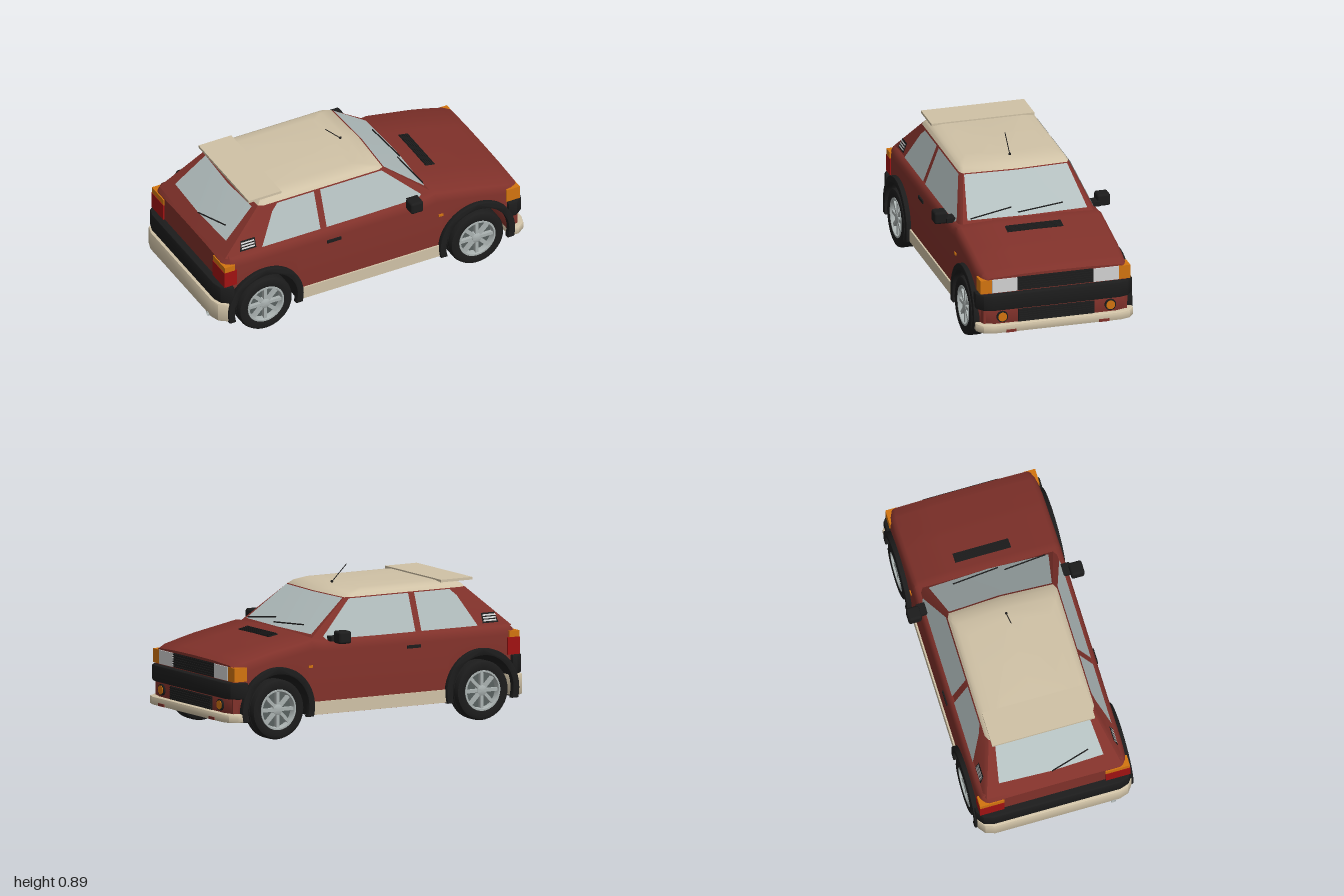
import * as THREE from 'three';
import { toCreasedNormals } from 'three/addons/utils/BufferGeometryUtils.js';
import { RoundedBoxGeometry } from 'three/addons/geometries/RoundedBoxGeometry.js';

const mat = (name, color) => Object.assign(new THREE.MeshStandardMaterial({ color, side: THREE.DoubleSide }), { name });
const paint = mat('red paint', 0x80312a), cream = mat('cream', 0xd0c2a6), glass = mat('glass', 0xb2bebe);
const black = mat('black trim', 0x1c1c1c), metal = mat('wheel metal', 0xaab2b1), white = mat('lamp white', 0xd2d2d2);
const orange = mat('orange lamp', 0xd2740f), red = mat('tail lamp red', 0xa01212), shade = mat('wheel dish grey', 0x596160);

const lerp = THREE.MathUtils.lerp;
const WHEELS = [-0.692, 0.667], AXLE = 0.175;

// Piecewise-linear lookup in [x, y] pairs
function along(pts, x) {
  for (let i = 1; i < pts.length; i++) {
    const [a, b] = [pts[i - 1], pts[i]];
    if (x <= b[0]) return lerp(a[1], b[1], Math.max(0, (x - a[0]) / (b[0] - a[0])));
  }
  return pts[pts.length - 1][1];
}

// Skin over a row of cross-sections
function loft(rings, closed = false, capped = false) {
  const n = rings[0].length, index = [], last = (rings.length - 1) * n;
  for (let i = 0; i < rings.length - 1; i++) {
    for (let j = 0; j < (closed ? n : n - 1); j++) {
      const a = i * n + j, c = i * n + (j + 1) % n;
      index.push(a, a + n, c + n, a, c + n, c);
    }
  }
  if (capped) for (let j = 1; j < n - 1; j++) index.push(0, j, j + 1, last, last + j + 1, last + j);
  const g = new THREE.BufferGeometry();
  g.setAttribute('position', new THREE.Float32BufferAttribute(rings.flat(2), 3));
  g.setIndex(index);
  return toCreasedNormals(g, 0.6);
}

// Cabin shell: rear x, front x and half width at height y
const cabin = (y) => {
  const t = (y - 0.545) / 0.21;
  return { rear: lerp(-0.9, -0.665, t), front: lerp(0.41, 0.14, t), side: lerp(0.405, 0.325, t) };
};
const endX = (s, y, z) => {
  const c = cabin(y), x = s > 0 ? c.front : c.rear;
  return x + s * 0.015 * (1 - Math.abs(z) / (c.side - 0.015));
};
const ringAt = (y, r, f, z) => {
  const half = [[f, z - 0.015], [f - 0.03, z], [r + 0.03, z], [r, z - 0.015]];
  return [[f + 0.015, 0], ...half, [r - 0.015, 0], ...half.reverse().map(([x, w]) => [x, -w])].map(([x, w]) => [x, y, w]);
};

export function createModel() {
  const car = new THREE.Group();
  car.name = 'hatchback';
  const add = (name, geo, material, x = 0, y = 0, z = 0, parent = car) => {
    const m = new THREE.Mesh(geo, material);
    m.name = name;
    m.position.set(x, y, z);
    parent.add(m);
    return m;
  };
  // Box given by its limits
  const box = (name, material, x0, x1, y0, y1, z0, z1) => add(name,
    new THREE.BoxGeometry(x1 - x0, y1 - y0, Math.abs(z1 - z0)), material, (x0 + x1) / 2, (y0 + y1) / 2, (z0 + z1) / 2);
  const rod = (name, material, a, b, r) => add(name,
    new THREE.TubeGeometry(new THREE.LineCurve3(new THREE.Vector3(...a), new THREE.Vector3(...b)), 1, r, 8), material);
  // Flat panel laid on the sloping cabin side
  const sidePanel = (name, material, s, pts, lift) => {
    const g = new THREE.ShapeGeometry(new THREE.Shape(pts.map((p) => new THREE.Vector2(...p))));
    const p = g.attributes.position;
    for (let i = 0; i < p.count; i++) p.setZ(i, s * (cabin(p.getY(i)).side + lift));
    if (s < 0) g.setIndex([...g.index.array].reverse());
    g.computeVertexNormals();
    add(name, g, material);
  };
  // Plan outline with rounded corners, raised from y0 to y1
  const bumper = (name, material, s, x0, x1, w, y0, y1) => {
    const half = [[x0, w], [x1 - 0.06, w], [x1 - 0.02, w - 0.03], [x1 - 0.004, w - 0.08]];
    const pts = [...half, ...half.slice().reverse().map(([x, z]) => [x, -z])];
    const b = 0.008, shape = new THREE.Shape(pts.map(([x, z]) => new THREE.Vector2(s * (x - b), z - Math.sign(z) * b)));
    const g = new THREE.ExtrudeGeometry(shape, { depth: y1 - y0 - 2 * b, bevelSize: b, bevelThickness: b, bevelSegments: 2 });
    add(name, toCreasedNormals(g.rotateX(-Math.PI / 2), 0.6), material, 0, y0 + b, 0);
  };

  // Lower body, with wheel arches running right through
  const top = [[-0.94, 0.5], [-0.9, 0.538], [0.35, 0.546], [0.42, 0.557], [0.7, 0.505], [0.9, 0.457], [0.945, 0.438]];
  const width = [[-0.94, 0.42], [-0.89, 0.436], [-0.8, 0.442], [0.8, 0.442], [0.9, 0.436], [0.945, 0.424]];
  const stations = [[-0.94, 0.12]];
  for (const c of WHEELS) {
    stations.push([c - 0.215, 0.12]);
    for (let i = 0; i <= 20; i++) {
      const a = Math.PI * (1 - i / 20);
      stations.push([c + 0.215 * Math.cos(a), AXLE + 0.215 * Math.sin(a)]);
    }
    stations.push([c + 0.215, 0.12]);
  }
  stations.push([0.35, 0.12], [0.42, 0.12], [-0.9, 0.12], [0.9, 0.12], [0.945, 0.12]);
  stations.sort((a, b) => a[0] - b[0]);
  add('lowerBody', loft(stations.map(([x, low]) => {
    const t = along(top, x), w = along(width, x);
    const half = [[w, low], [w, t - 0.06], [w - 0.005, t - 0.035], [w - 0.016, t - 0.012], [w - 0.036, t], [0.2, t + 0.008]];
    return [...half, [0, t + 0.01], ...half.slice().reverse().map(([z, y]) => [-z, y])].map(([z, y]) => [x, y, z]);
  }), false, true), paint);
  add('floorPan', loft(stations.map(([x, low]) => [[x, low, -along(width, x)], [x, low, along(width, x)]])), black);

  // Cabin and roof
  const shell = (y) => { const c = cabin(y); return ringAt(y, c.rear, c.front, c.side); };
  add('cabin', loft([shell(0.525), shell(0.757)], true), paint);
  add('roof', loft([shell(0.757), ringAt(0.777, -0.645, 0.105, 0.312), ringAt(0.79, -0.62, 0.05, 0.29),
    ringAt(0.796, -0.57, -0.02, 0.24)], true, true), cream);
  box('roofSpoiler', cream, -0.72, -0.51, 0.789, 0.804, -0.305, 0.305);

  // Windscreen and rear window
  for (const [name, s, y0, w0, y1, w1] of [['windscreen', 1, 0.57, 0.355, 0.754, 0.305], ['rearWindow', -1, 0.58, 0.31, 0.74, 0.28]]) {
    add(name, loft([[y0, w0], [y1, w1]].map(([y, w]) => [-w, 0, w].map((z) => [endX(s, y, z) + s * 0.005, y, s * z]))), glass);
  }
  const onGlass = (s, y, z) => [endX(s, y, z) + s * 0.014, y, z];
  rod('frontWiper', black, onGlass(1, 0.578, 0.335), onGlass(1, 0.61, 0.085), 0.004);
  rod('frontWiper', black, onGlass(1, 0.587, 0.055), onGlass(1, 0.605, -0.22), 0.004);
  rod('rearWiper', black, onGlass(-1, 0.585, 0), onGlass(-1, 0.625, 0.23), 0.004);

  // Bonnet vent
  const vent = add('bonnetVent', new THREE.BoxGeometry(0.06, 0.008, 0.33), black, 0.52, 0.548, 0);
  vent.rotation.z = -0.19;
  for (let i = -2; i <= 2; i++) add('ventRib', new THREE.BoxGeometry(0.005, 0.006, 0.32), black, i * 0.012, 0.005, 0, vent);

  // Bumpers and valances
  bumper('frontBumper', black, 1, 0.885, 0.986, 0.462, 0.25, 0.345);
  bumper('frontValance', paint, 1, 0.885, 0.966, 0.443, 0.15, 0.26);
  bumper('frontLip', cream, 1, 0.885, 1.0, 0.465, 0.117, 0.165);
  bumper('rearBumper', black, -1, 0.91, 0.988, 0.462, 0.25, 0.362);
  bumper('rearSkirt', cream, -1, 0.91, 1.0, 0.456, 0.125, 0.245);

  // Front grilles with slats
  for (const [name, x, y0, y1] of [['grille', 0.945, 0.35, 0.432], ['lowerGrille', 0.966, 0.166, 0.242]]) {
    box(name, black, x - 0.01, x + 0.003, y0, y1, -0.225, 0.225);
    for (let i = 0; i < 6; i++) {
      const y = y0 + (i + 0.5) * (y1 - y0) / 6;
      box(name + 'Slat', black, x, x + 0.009, y - 0.003, y + 0.003, -0.222, 0.222);
    }
  }

  // Aerial and exhaust
  rod('aerial', black, [0.03, 0.797, 0], [-0.067, 0.892, 0], 0.0025);
  add('aerialBase', new THREE.SphereGeometry(0.008, 12, 8), black, 0.03, 0.799, 0);
  const pipe = new THREE.CylinderGeometry(0.014, 0.014, 0.2, 16, 1, true).rotateZ(Math.PI / 2);
  add('exhaust', pipe, metal, -0.9, 0.127, 0.33);

  for (const s of [1, -1]) {
    // Side glass and pillar vents
    sidePanel('frontSideWindow', glass, s, [[-0.275, 0.54], [0.315, 0.54], [0.335, 0.56], [0.12, 0.752], [-0.275, 0.752]], 0.005);
    sidePanel('rearSideWindow', glass, s, [[-0.69, 0.54], [-0.315, 0.54], [-0.315, 0.752], [-0.55, 0.752], [-0.59, 0.715]], 0.005);
    sidePanel('pillarVent', black, s, [[-0.83, 0.55], [-0.725, 0.55], [-0.725, 0.607], [-0.815, 0.607]], 0.005);
    for (let i = 0; i < 3; i++) {
      const y = 0.56 + i * 0.015;
      sidePanel('pillarVentSlat', white, s, [[-0.82, y], [-0.732, y], [-0.732, y + 0.009], [-0.815, y + 0.009]], 0.008);
    }
    // Lamps
    box('headlight', white, 0.93, 0.952, 0.35, 0.43, s * 0.226, s * 0.375);
    box('frontIndicator', orange, 0.865, 0.95, 0.35, 0.43, s * 0.375, s * 0.444);
    box('tailLamp', red, -0.95, -0.87, 0.362, 0.462, s * 0.3, s * 0.445);
    box('rearIndicator', orange, -0.947, -0.88, 0.462, 0.498, s * 0.3, s * 0.444);
    box('sideRepeater', orange, 0.428, 0.456, 0.394, 0.408, s * 0.438, s * 0.448);
    const disc = (r, h) => new THREE.CylinderGeometry(r, r, h, 24).rotateZ(Math.PI / 2);
    add('fogLampRim', disc(0.033, 0.012), black, 0.968, 0.208, s * 0.32);
    add('fogLamp', disc(0.026, 0.018), orange, 0.969, 0.208, s * 0.32);
    box('lipSlot', paint, 0.99, 1.0, 0.12, 0.136, s * 0.245, s * 0.305);
    // Sill, handle and mirror
    box('sill', cream, -0.475, 0.45, 0.122, 0.196, s * 0.42, s * 0.452);
    box('doorHandle', black, -0.29, -0.2, 0.452, 0.47, s * 0.436, s * 0.45);
    box('mirrorStalk', black, 0.24, 0.31, 0.535, 0.562, s * 0.39, s * 0.455);
    add('mirror', new RoundedBoxGeometry(0.08, 0.072, 0.078, 3, 0.014), black, 0.253, 0.561, s * 0.482);

    for (const x of WHEELS) {
      // Arch flare
      const flare = new THREE.Shape();
      flare.absarc(0, 0, 0.236, -0.23, Math.PI + 0.23, false);
      flare.absarc(0, 0, 0.206, Math.PI + 0.27, -0.27, true);
      const fg = new THREE.ExtrudeGeometry(flare, { depth: 0.028, bevelSize: 0.005, bevelThickness: 0.005, bevelSegments: 2, curveSegments: 32 });
      add('archFlare', toCreasedNormals(fg, 0.6), black, x, AXLE, s > 0 ? 0.437 : -0.465);

      // Wheel, outer face towards local +z
      const wheel = new THREE.Group();
      wheel.name = 'wheel';
      wheel.position.set(x, 0.173, s * 0.415);
      wheel.rotation.y = s > 0 ? 0 : Math.PI;
      car.add(wheel);
      const turn = (name, material, pts) => add(name, toCreasedNormals(new THREE.LatheGeometry(
        pts.map((p) => new THREE.Vector2(...p)), 40).rotateX(Math.PI / 2), 0.7), material, 0, 0, 0, wheel);
      turn('tyre', black, [[0.117, -0.045], [0.148, -0.055], [0.165, -0.048], [0.172, -0.03], [0.172, -0.016], [0.167, -0.013],
        [0.172, -0.01], [0.172, 0.01], [0.167, 0.013], [0.172, 0.016], [0.172, 0.03], [0.165, 0.048], [0.148, 0.055], [0.117, 0.047]]);
      turn('rim', metal, [[0.118, 0.045], [0.116, 0.05], [0.106, 0.05], [0.101, 0.035], [0.1, 0.012]]);
      turn('wheelDish', shade, [[0.102, 0.014], [0, 0.014]]);
      turn('wheelBack', metal, [[0, -0.06], [0.05, -0.057], [0.09, -0.05], [0.118, -0.04]]);
      turn('hub', metal, [[0.034, 0.014], [0.03, 0.042], [0.018, 0.047], [0, 0.047]]);
      for (let i = 0; i < 8; i++) {
        const spoke = new THREE.BoxGeometry(0.085, 0.019, 0.022).translate(0.064, 0, 0.03).rotateZ(i * Math.PI / 4);
        add('spoke', spoke, metal, 0, 0, 0, wheel);
      }
    }
  }
  return car;
}
